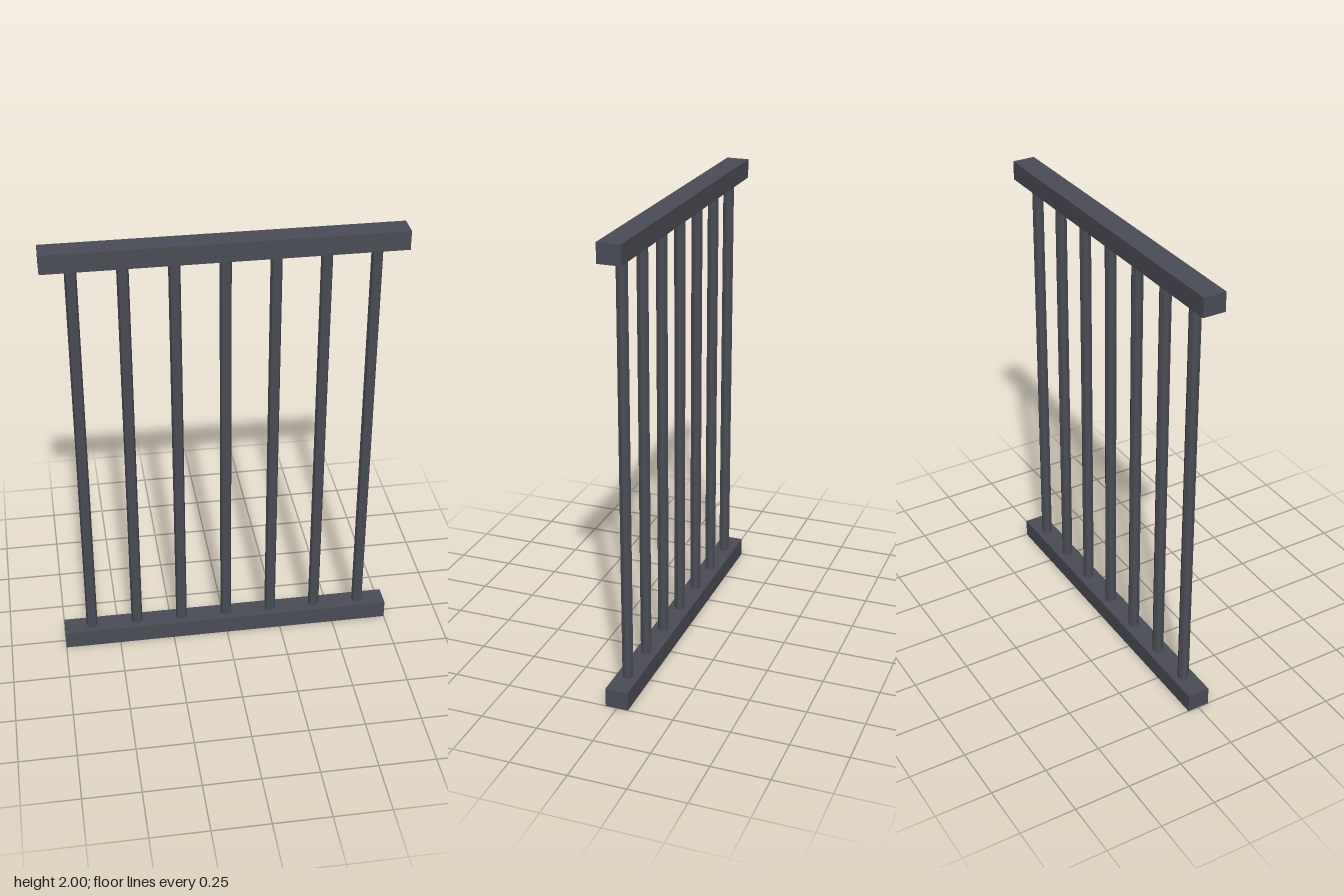
import * as THREE from 'three';

export function createModel() {
  const group = new THREE.Group();
  const iron = new THREE.MeshStandardMaterial({ color: 0x4a4d55, flatShading: true });
  iron.name = 'dark iron';

  const add = (name, geometry, x, y) => {
    const mesh = new THREE.Mesh(geometry, iron);
    mesh.name = name;
    mesh.position.set(x, y, 0);
    group.add(mesh);
  };

  // Horizontal rails at the bottom and top
  const railHeight = 1 / 12;
  const rail = new THREE.BoxGeometry(1.5, railHeight, 0.1);
  add('bottomRail', rail, 0, railHeight / 2);
  add('topRail', rail, 0, 2 - railHeight / 2);

  // Seven evenly spaced eight-sided bars, ending at the rails
  const bar = new THREE.CylinderGeometry(0.025, 0.025, 2 - 2 * railHeight, 8);
  for (let i = 0; i < 7; i++) add(`bar${i + 1}`, bar, (i - 3) * 0.2083, 1);

  return group;
}
